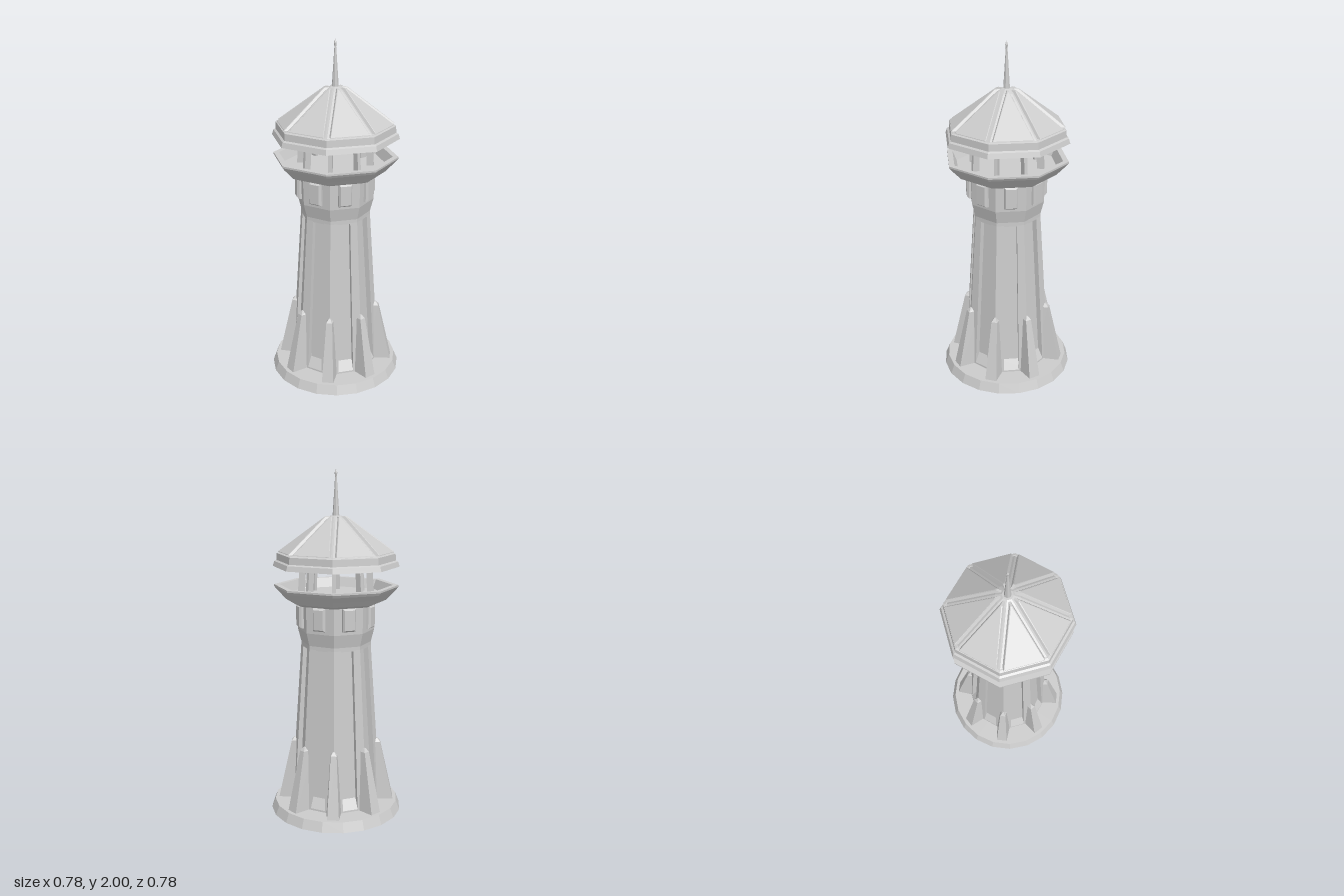
import * as THREE from 'three';

const SIDES = 8;
const STEP = (Math.PI * 2) / SIDES;
const APOTHEM = Math.cos(STEP / 2);
const HALF_SIDE = Math.sin(STEP / 2);

const solid = new THREE.MeshStandardMaterial({ color: 0xcccccc, flatShading: true });
const shell = new THREE.MeshStandardMaterial({
  color: 0xcccccc, flatShading: true, side: THREE.DoubleSide,
});

// Closed solid through matching rings of [x, y, z] corners, counterclockwise about its axis
function loft(rings) {
  const n = rings[0].length;
  const pos = [];
  const tri = (a, b, c) => pos.push(...a, ...b, ...c);
  for (let k = 0; k < rings.length - 1; k++) {
    for (let i = 0; i < n; i++) {
      const j = (i + 1) % n;
      tri(rings[k][i], rings[k][j], rings[k + 1][j]);
      tri(rings[k][i], rings[k + 1][j], rings[k + 1][i]);
    }
  }
  const first = rings[0];
  const last = rings[rings.length - 1];
  for (let i = 1; i < n - 1; i++) {
    tri(first[0], first[i + 1], first[i]);
    tri(last[0], last[i], last[i + 1]);
  }
  const g = new THREE.BufferGeometry();
  g.setAttribute('position', new THREE.Float32BufferAttribute(pos, 3));
  g.computeVertexNormals();
  return g;
}

// Horizontal trapezoid between an inner and an outer depth
const slab = (y, wIn, wOut, z0, z1) => [[-wIn, y, z0], [-wOut, y, z1], [wOut, y, z1], [wIn, y, z0]];

// Section of a shaft corner: an octagon corner with an arm along each adjoining face
function cornerSection(y, radius, panelHalf) {
  const arm = radius * HALF_SIDE - panelHalf;
  const x = arm * APOTHEM;
  const z = radius - arm * HALF_SIDE;
  const depth = 0.05;
  const xi = x - depth * HALF_SIDE;
  const zi = z - depth * APOTHEM;
  return [[-xi, y, zi], [-x, y, z], [0, y, radius], [x, y, z], [xi, y, zi]];
}

// Raised bevelled panel lying on a sloping wall
function panel(y0, y1, w0, w1, wall, rise, bevel) {
  const ring = (inset, out) => {
    const a = y0 + inset, b = y1 - inset;
    return [
      [-w0 + inset, a, wall(a) + out], [w0 - inset, a, wall(a) + out],
      [w1 - inset, b, wall(b) + out], [-w1 + inset, b, wall(b) + out],
    ];
  };
  return loft([ring(0, -0.03), ring(0, rise * 0.5), ring(bevel, rise)]);
}

export function createModel() {
  const model = new THREE.Group();

  const add = (name, geometry, parent = model, material = solid) => {
    const mesh = new THREE.Mesh(geometry, material);
    mesh.name = name;
    parent.add(mesh);
    return mesh;
  };
  const turned = (name, profile, sides = SIDES, material = solid) =>
    add(name, new THREE.LatheGeometry(profile.map(([r, y]) => new THREE.Vector2(r, y)), sides),
      model, material);
  const around = (name, geometry, offset = 0) => {
    const group = new THREE.Group();
    group.name = name + 's';
    for (let i = 0; i < SIDES; i++) add(name, geometry, group).rotation.y = (i + offset) * STEP;
    model.add(group);
  };

  // Round base, hollow underneath
  turned('base', [[0.39, 0], [0.368, 0.055], [0, 0.055]], 20, shell);

  // Tapering shaft: recessed core, sloping sills and full-height corner piers
  const shaftRadius = (y) => 0.268 - ((y - 0.055) * 0.066) / 0.965;
  const recess = 0.032;
  turned('shaftCore', [[shaftRadius(0.05) - recess, 0.05], [shaftRadius(1.02) - recess, 1.02]]);
  turned('sill', [[shaftRadius(0.05), 0.05], [shaftRadius(0.065), 0.065], [0.225, 0.135]]);
  around('cornerPier', loft([
    cornerSection(0.05, shaftRadius(0.05), 0.046),
    cornerSection(1.01, shaftRadius(1.01), 0.037),
  ]));

  // Flared collar with a raised panel on each face
  turned('collar', [[0.15, 1.0], [0.203, 1.0], [0.203, 1.025], [0.222, 1.1], [0.226, 1.27]]);
  around('collarPanel',
    panel(1.12, 1.25, 0.038, 0.038, () => 0.207, 0.024, 0.009), 0.5);

  // Corner buttresses with a pointed top
  around('buttress', loft([
    slab(0.05, 0.047, 0.034, 0.2, 0.345),
    slab(0.41, 0.024, 0.017, 0.2, 0.265),
    slab(0.43, 0.006, 0.005, 0.2, 0.25),
  ]));

  // Gallery with a sunken floor
  turned('gallery', [
    [0, 1.255], [0.255, 1.255], [0.29, 1.27], [0.315, 1.298], [0.346, 1.33], [0.357, 1.345],
    [0.357, 1.355], [0.325, 1.355], [0.3, 1.3], [0, 1.3],
  ]);

  // Thin corner pillars leaning slightly inward
  around('pillar', loft([
    slab(1.29, 0.01, 0.01, 0.18, 0.22),
    slab(1.49, 0.01, 0.01, 0.17, 0.205),
  ]));

  // Stepped eave
  turned('eave', [
    [0, 1.475], [0.32, 1.475], [0.335, 1.46], [0.362, 1.46], [0.353, 1.488],
    [0.341, 1.495], [0.338, 1.533], [0.325, 1.538], [0, 1.538],
  ]);

  // Pitched roof: core visible in the corner grooves, one raised panel per face
  const roofRadius = (y) => 0.333 - ((y - 1.543) * 0.268) / 0.197;
  turned('roofCore', [[0.33, 1.53], [0.065, 1.726], [0.03, 1.745], [0, 1.747]]);
  around('roofPanel', panel(
    1.543, 1.74, roofRadius(1.543) * HALF_SIDE - 0.019, roofRadius(1.74) * HALF_SIDE - 0.019,
    (y) => roofRadius(y) * APOTHEM, 0.006, 0.003), 0.5);

  // Spire with a small diamond tip
  turned('spire', [
    [0.02, 1.72], [0.018, 1.76], [0.005, 1.96], [0.008, 1.98], [0, 2],
  ]);

  return model;
}
